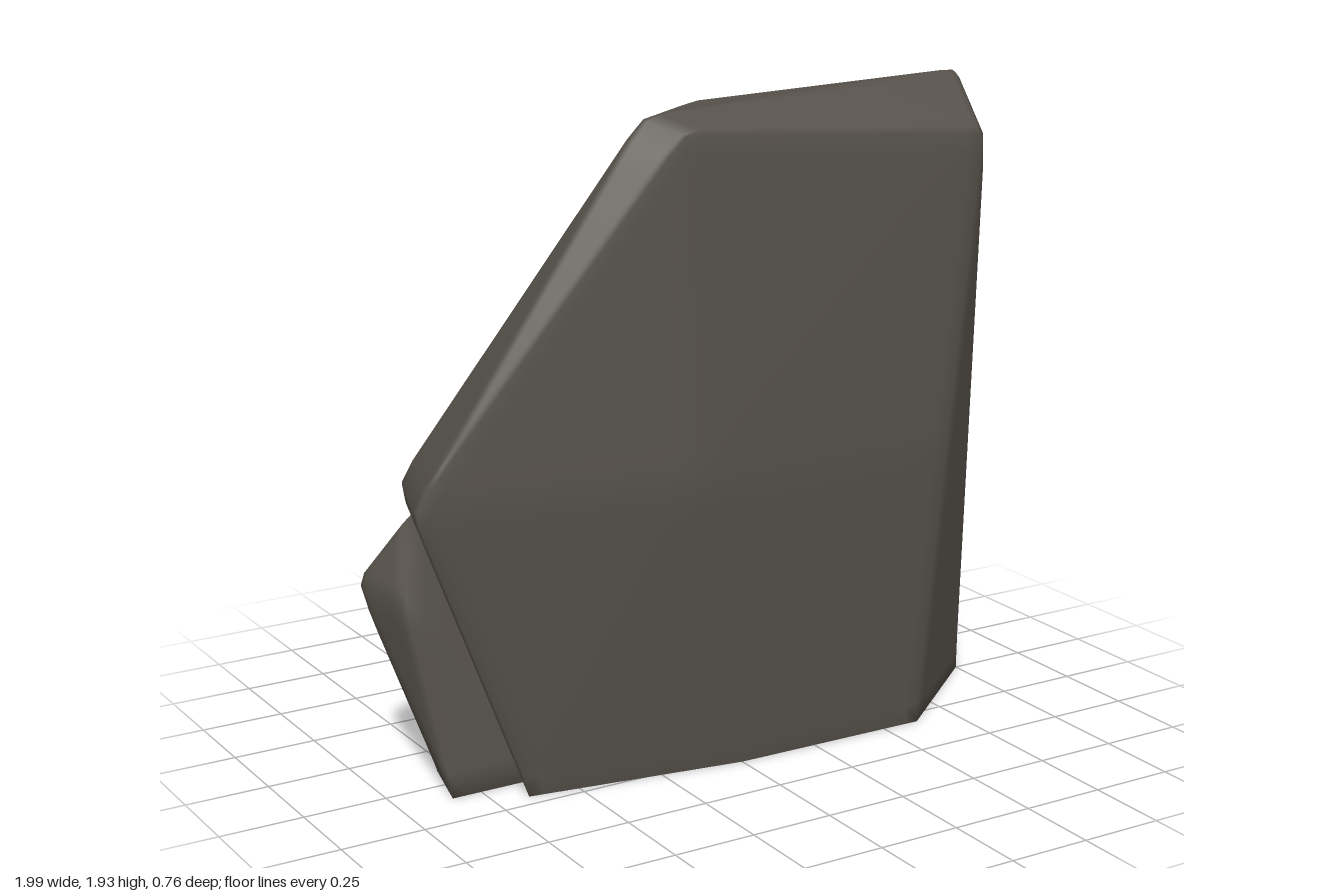
import * as THREE from 'three';
import { mergeVertices } from 'three/addons/utils/BufferGeometryUtils.js';
import { ConvexGeometry } from 'three/addons/geometries/ConvexGeometry.js';

// split every triangle into four
function subdivide(pos) {
  const out = [];
  for (let i = 0; i < pos.length; i += 3) {
    const [a, b, c] = [pos[i], pos[i + 1], pos[i + 2]];
    const ab = a.clone().lerp(b, 0.5), bc = b.clone().lerp(c, 0.5), ca = c.clone().lerp(a, 0.5);
    out.push(a, ab, ca, ab, b, bc, ca, bc, c, ab, bc, ca);
  }
  return out;
}

// convex stone from corner points, with worn edges and a flat base
function stone(corners, levels, wear) {
  const hull = new ConvexGeometry(corners.map(p => new THREE.Vector3(...p)));
  const p = hull.attributes.position;
  let tris = [];
  for (let i = 0; i < p.count; i++) tris.push(new THREE.Vector3().fromBufferAttribute(p, i));
  for (let i = 0; i < levels; i++) tris = subdivide(tris);

  let geo = new THREE.BufferGeometry().setFromPoints(tris);
  geo = mergeVertices(geo, 1e-4);
  const pos = geo.attributes.position, idx = geo.index.array;

  // neighbours of each vertex
  const near = Array.from({ length: pos.count }, () => new Set());
  for (let i = 0; i < idx.length; i += 3) {
    for (let k = 0; k < 3; k++) {
      near[idx[i + k]].add(idx[i + (k + 1) % 3]).add(idx[i + (k + 2) % 3]);
    }
  }
  // soften edges by averaging, leaving the base untouched
  const old = pos.clone(), v = new THREE.Vector3(), mean = new THREE.Vector3(), n = new THREE.Vector3();
  for (let i = 0; i < pos.count; i++) {
    v.fromBufferAttribute(old, i);
    if (v.y < 1e-3) continue;
    mean.set(0, 0, 0);
    near[i].forEach(j => mean.add(n.fromBufferAttribute(old, j)));
    v.lerp(mean.divideScalar(near[i].size), wear);
    pos.setXYZ(i, v.x, v.y, v.z);
  }
  geo.computeVertexNormals();
  return geo;
}

export function createModel() {
  const group = new THREE.Group();
  group.name = 'rock';
  const rockGrey = new THREE.MeshStandardMaterial({ color: 0x57524b });
  rockGrey.name = 'rockGrey';

  const add = (name, corners, levels, wear) => {
    const mesh = new THREE.Mesh(stone(corners, levels, wear), rockGrey);
    mesh.name = name;
    group.add(mesh);
  };

  // tall slab
  add('mainSlab', [
    // top
    [-0.3, 1.91, 0.25], [0.91, 1.93, 0.05], [0.8, 1.79, 0.33], [-0.22, 1.87, 0.34],
    [0.09, 1.86, -0.19], [0.6, 1.82, -0.13], [0.55, 1.92, 0.16],
    // waist
    [-1.01, 0.9, 0.24], [-0.88, 0.88, -0.12], [-0.34, 0.88, -0.385],
    [0.48, 0.7, -0.29], [-0.2, 0.9, 0.385], [0.68, 0.9, 0.355],
    // foot
    [-0.65, 0, 0.2], [0, 0, 0.3], [0.62, 0, 0.31], [1, 0, 0],
    [0.49, 0, -0.2], [-0.14, 0, -0.245], [-0.5, 0, -0.2],
  ], 4, 0.5);

  // smaller stone leaning on the rear corner
  add('sideStone', [
    [-0.88, 0.8, -0.06], [-0.62, 0.83, -0.25], [-0.45, 0.73, -0.28],
    [-0.99, 0.59, -0.18], [-0.95, 0.58, 0.05], [-0.7, 0.5, -0.3], [-0.41, 0.53, -0.29],
    [-0.4, 0.3, -0.28], [-0.55, 0.25, -0.29],
    [-0.84, 0, 0.1], [-0.79, 0, -0.1], [-0.62, 0, -0.23], [-0.37, 0, -0.17], [-0.5, 0, 0.1],
  ], 3, 0.5);

  // little chip on the rear slope
  add('chip', [
    [-0.66, 1.2, -0.03], [-0.72, 1.18, -0.01], [-0.71, 1.06, -0.09],
    [-0.76, 1.05, -0.04], [-0.74, 0.9, -0.14], [-0.7, 1.0, 0.05],
  ], 2, 0.4);

  return group;
}
